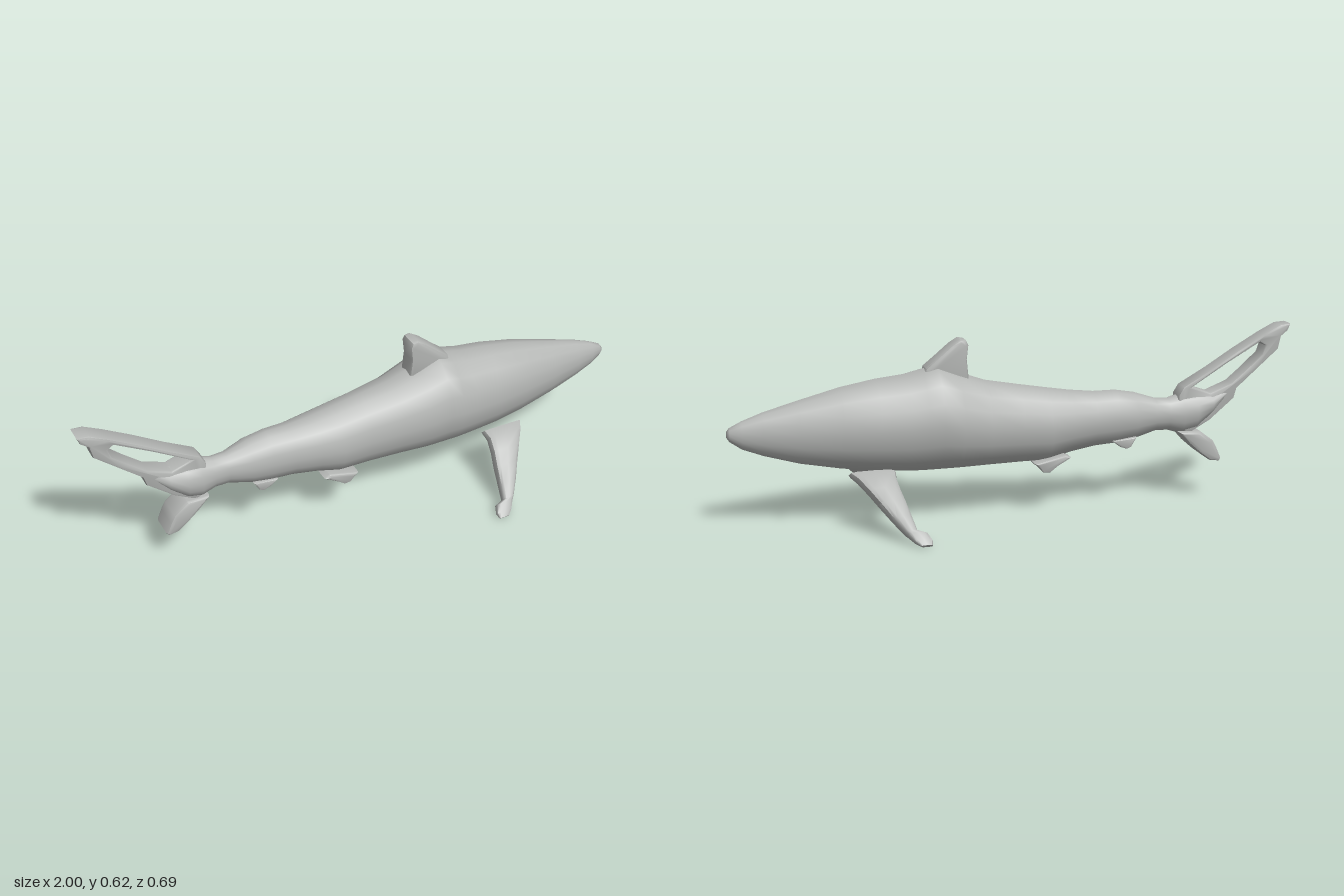
import * as THREE from 'three';
import { mergeVertices, toCreasedNormals } from 'three/addons/utils/BufferGeometryUtils.js';

const grey = new THREE.MeshStandardMaterial({ color: 0xb4b6b4 });
grey.name = 'shark grey';

function addMesh(group, name, geometry) {
  const mesh = new THREE.Mesh(geometry, grey);
  mesh.name = name;
  group.add(mesh);
}

// Skin a row of closed rings and cap both ends.
function loft(rings, crease) {
  const n = rings[0].length;
  const points = rings.flat();
  const index = [];
  for (let i = 0; i < rings.length - 1; i++) {
    for (let j = 0; j < n; j++) {
      const a = i * n + j, b = i * n + (j + 1) % n;
      index.push(a, a + n, b, b, a + n, b + n);
    }
  }
  const last = (rings.length - 1) * n;
  for (let j = 1; j < n - 1; j++) {
    index.push(0, j, j + 1, last, last + j + 1, last + j);
  }
  const geometry = new THREE.BufferGeometry().setFromPoints(points);
  geometry.setIndex(index);
  return toCreasedNormals(geometry, crease);
}

// Upright slab with rounded edges, centred on z.
function slab(outline, halfWidth, bevel, z = 0, hole = null) {
  const toPoints = list => list.map(([x, y]) => new THREE.Vector2(x, y));
  const shape = new THREE.Shape(toPoints(outline));
  if (hole) shape.holes.push(new THREE.Path(toPoints(hole)));
  const geometry = new THREE.ExtrudeGeometry(shape, {
    depth: 2 * (halfWidth - bevel), bevelEnabled: true, bevelSize: bevel,
    bevelThickness: bevel, bevelOffset: -bevel, bevelSegments: 2,
  });
  geometry.translate(0, 0, z - halfWidth + bevel);
  geometry.deleteAttribute('uv');
  geometry.deleteAttribute('normal');
  return toCreasedNormals(mergeVertices(geometry), 0.7);
}

// Body stations: x, belly y, back y, half width
const BODY = [
  [1, 0.325, 0.345, 0.009], [0.99, 0.31, 0.358, 0.016], [0.95, 0.282, 0.378, 0.028],
  [0.88, 0.255, 0.404, 0.046], [0.76, 0.22, 0.438, 0.073], [0.62, 0.193, 0.475, 0.106],
  [0.5, 0.178, 0.497, 0.127], [0.4, 0.17, 0.508, 0.135], [0.34, 0.169, 0.522, 0.144],
  [0.29, 0.169, 0.535, 0.147], [0.22, 0.17, 0.507, 0.142], [0.12, 0.172, 0.472, 0.122],
  [0, 0.174, 0.45, 0.108], [-0.1, 0.175, 0.433, 0.103], [-0.18, 0.198, 0.42, 0.093],
  [-0.27, 0.213, 0.41, 0.078], [-0.35, 0.218, 0.41, 0.072], [-0.42, 0.23, 0.398, 0.066],
  [-0.5, 0.253, 0.372, 0.044], [-0.55, 0.252, 0.37, 0.042], [-0.6, 0.237, 0.385, 0.054],
  [-0.65, 0.25, 0.388, 0.056], [-0.71, 0.3, 0.385, 0.045], [-0.78, 0.375, 0.41, 0.03],
];

function bodyGeometry() {
  const sides = 16;
  return loft(BODY.map(([x, low, high, w]) => Array.from({ length: sides }, (_, j) => {
    const a = j / sides * Math.PI * 2;
    return new THREE.Vector3(x, (low + high) / 2 + Math.cos(a) * (high - low) / 2, Math.sin(a) * w);
  })), 1.0);
}

// Pectoral stations: z, y, leading x, trailing x, half thickness
const PECTORAL = [
  [0.085, 0.19, 0.61, 0.45, 0.022], [0.12, 0.178, 0.59, 0.455, 0.026],
  [0.16, 0.147, 0.56, 0.45, 0.027], [0.2, 0.112, 0.53, 0.44, 0.027],
  [0.25, 0.072, 0.495, 0.43, 0.025], [0.29, 0.038, 0.463, 0.422, 0.022],
  [0.3, 0.031, 0.455, 0.39, 0.02], [0.325, 0.016, 0.438, 0.378, 0.013],
  [0.342, 0.006, 0.42, 0.382, 0.006],
];

function pectoralGeometry(side) {
  const sides = 12;
  const square = v => Math.sign(v) * Math.pow(Math.abs(v), 0.6);
  return loft(PECTORAL.map(([z, y, lead, trail, t]) => Array.from({ length: sides }, (_, j) => {
    const a = -side * j / sides * Math.PI * 2;
    const n = square(Math.sin(a)) * t;
    return new THREE.Vector3((lead + trail) / 2 + square(Math.cos(a)) * (lead - trail) / 2,
      Math.max(0, y + n * 0.75), side * (z + n * 0.66));
  })), 0.8);
}

export function createModel() {
  const shark = new THREE.Group();
  shark.name = 'shark';

  addMesh(shark, 'body', bodyGeometry());

  addMesh(shark, 'dorsalFin', slab([
    [0.18, 0.47], [0.34, 0.49], [0.33, 0.528], [0.29, 0.56], [0.24, 0.602],
    [0.21, 0.62], [0.19, 0.617], [0.182, 0.6], [0.188, 0.55],
  ], 0.036, 0.01));

  // Upper tail lobe with its long slot
  addMesh(shark, 'upperTailFin', slab([
    [-0.58, 0.38], [-0.6, 0.412], [-0.7, 0.468], [-0.8, 0.53], [-0.9, 0.587], [-0.96, 0.617],
    [-1, 0.62], [-0.99, 0.595], [-0.965, 0.575], [-0.955, 0.53], [-0.88, 0.465],
    [-0.8, 0.395], [-0.79, 0.36], [-0.7, 0.285], [-0.62, 0.24], [-0.58, 0.27],
  ], 0.034, 0.007, 0, [
    [-0.905, 0.545], [-0.885, 0.558], [-0.76, 0.487], [-0.63, 0.408],
    [-0.7, 0.384], [-0.78, 0.415], [-0.84, 0.465], [-0.895, 0.515],
  ]));

  addMesh(shark, 'lowerTailFin', slab([
    [-0.58, 0.25], [-0.66, 0.25], [-0.71, 0.212], [-0.725, 0.185], [-0.742, 0.145],
    [-0.735, 0.135], [-0.7, 0.14], [-0.66, 0.17], [-0.62, 0.205],
  ], 0.05, 0.012));

  // Anal fin
  addMesh(shark, 'analFin', slab([
    [-0.33, 0.235], [-0.42, 0.245], [-0.4, 0.21], [-0.385, 0.204], [-0.36, 0.212],
  ], 0.05, 0.006));

  for (const [side, name] of [[1, 'right'], [-1, 'left']]) {
    addMesh(shark, name + 'PectoralFin', pectoralGeometry(side));
    addMesh(shark, name + 'PelvicFin', slab([
      [-0.04, 0.18], [-0.15, 0.205], [-0.17, 0.195], [-0.12, 0.165],
      [-0.095, 0.146], [-0.07, 0.148], [-0.055, 0.165],
    ], 0.03, 0.008, side * 0.05));
  }
  return shark;
}
